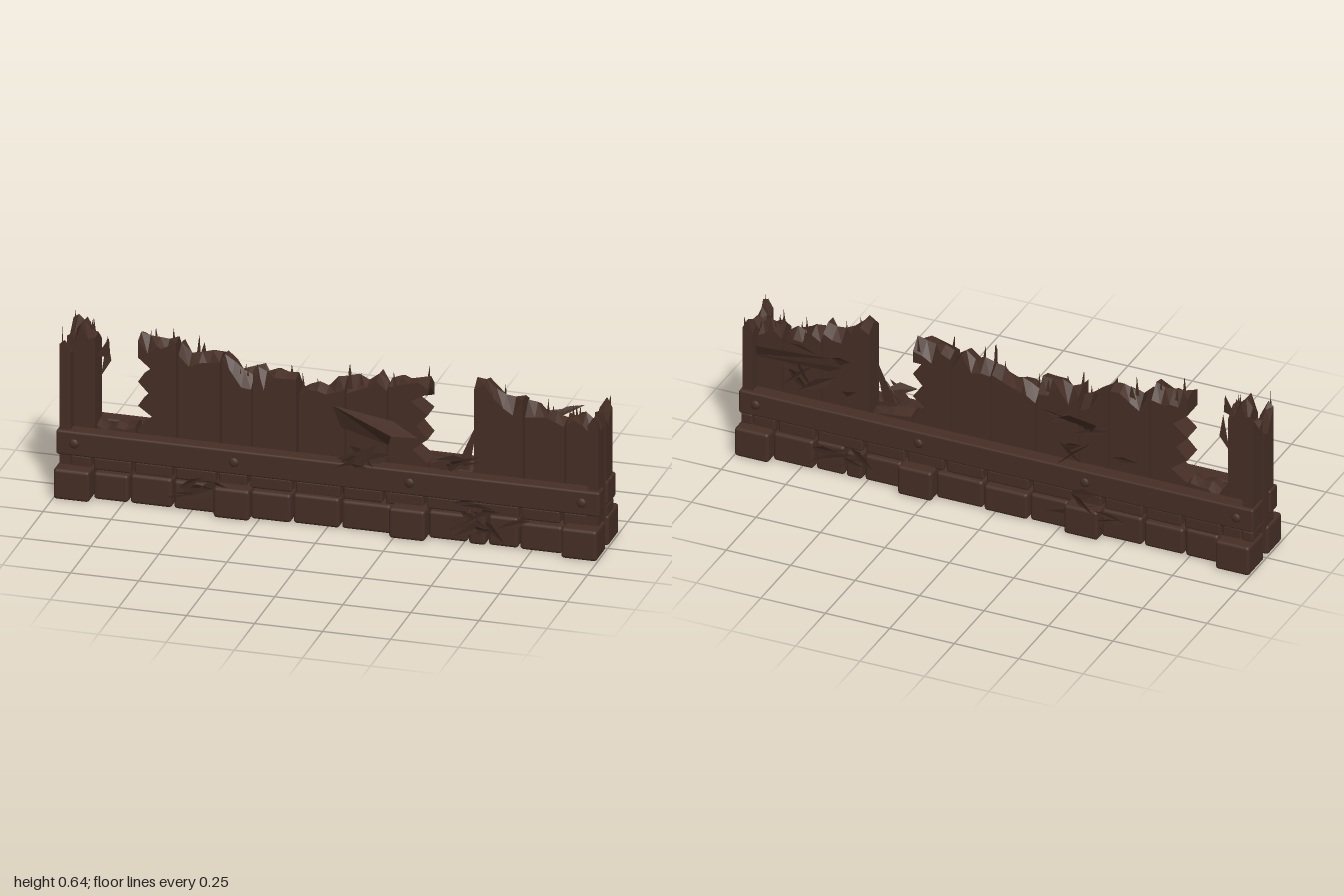
import * as THREE from 'three';
import { RoundedBoxGeometry } from 'three/addons/geometries/RoundedBoxGeometry.js';

const wood = new THREE.MeshStandardMaterial({ color: 0x452e25, side: THREE.DoubleSide });
wood.name = 'darkWood';

let seed = 7;
const rnd = (a, b) => {
  seed = (seed * 16807) % 2147483647;
  return a + (b - a) * (seed / 2147483647);
};

// Planks: left x, right x, height at left, height at right, side with a torn edge
const PLANKS = [
  [-.95, -.872, .625, .61], [-.866, -.725, .26, .26], [-.715, -.575, .6, .6, -1],
  [-.566, -.415, .58, .575], [-.407, -.3, .575, .5], [-.292, -.135, .53, .54],
  [-.124, .043, .49, .525], [.051, .198, .545, .55], [.206, .35, .55, .59, 1],
  [.356, .51, .255, .26], [.52, .698, .585, .53], [.707, .85, .515, .49], [.859, .95, .49, .505],
];
const STONES = [-.865, -.73, -.57, -.405, -.285, -.13, .047, .235, .365, .515, .585, .702, .865];
const POSTS = [-.9325, -.345, .3, .9325];

// Outline of a plank with a splintered top and, where asked, a torn side
function plankShape([x0, x1, yl, yr, torn = 0], foot) {
  const pts = [[x1, foot], [x0, foot]];
  const tear = (x) => {
    const edge = [];
    for (let i = 0; i < 7; i++) edge.push([x - (i % 2 ? torn * rnd(.04, .07) : 0), .26 + i * .046]);
    return edge;
  };
  if (torn < 0) pts.push(...tear(x0));
  const n = Math.max(3, Math.round((x1 - x0) / .035));
  for (let i = 0; i <= n; i++) {
    const t = i / n;
    pts.push([x0 + (x1 - x0) * t, yl + (yr - yl) * t + rnd(-.02, .022)]);
  }
  if (torn > 0) pts.push(...tear(x1).reverse());
  return new THREE.Shape(pts.map(([x, y]) => new THREE.Vector2(x, y)));
}

// Plank whose broken top rises to a ragged ridge inside its thickness
function plankGeometry(plank, foot, depth) {
  const geo = new THREE.ExtrudeGeometry(plankShape(plank, foot), { depth, steps: 2, bevelEnabled: false });
  const p = geo.attributes.position;
  const top = Math.min(plank[2], plank[3]) - .03;
  for (let i = 0; i < p.count; i++) {
    const [x, y, z] = [p.getX(i), p.getY(i), p.getZ(i)];
    if (y < top || Math.abs(z - depth / 2) < depth * .1) continue;
    const h = Math.abs(Math.sin(x * 57 + y * 91 + z * 133) * 437) % 1;
    p.setY(i, y - h * (top > .3 ? .06 : .02));
  }
  geo.computeVertexNormals();
  return geo;
}

export function createModel() {
  const model = new THREE.Group();
  const add = (name, geo, parent = model) => {
    const m = new THREE.Mesh(geo, wood);
    m.name = name;
    parent.add(m);
    return m;
  };
  const group = (name) => {
    const g = new THREE.Group();
    g.name = name;
    model.add(g);
    return g;
  };
  // Rounded box given by its limits
  const block = (name, x0, x1, y0, y1, z0, z1, r, parent) =>
    add(name, new RoundedBoxGeometry(Math.abs(x1 - x0), y1 - y0, Math.abs(z1 - z0), 2, r), parent)
      .position.set((x0 + x1) / 2, (y0 + y1) / 2, (z0 + z1) / 2);
  // Flat-sided splinter through a few points
  const splinter = (pts, parent) => {
    const pos = [];
    for (let i = 1; i < pts.length - 1; i++) pos.push(...pts[0], ...pts[i], ...pts[i + 1]);
    const g = new THREE.BufferGeometry();
    g.setAttribute('position', new THREE.Float32BufferAttribute(pos, 3));
    g.computeVertexNormals();
    add('splinter', g, parent);
  };

  // Upright broken planks standing between the rails, with slivers on the tops
  const planks = group('planks');
  PLANKS.forEach((plank) => {
    add('plank', plankGeometry(plank, .015, .083), planks).position.z = -.048;
    const [x0, x1, yl, yr] = plank;
    for (let i = 0; i < 3 && yl > .4; i++) {
      const x = rnd(x0 + .01, x1 - .01), y = Math.min(yl, yr) - .05, z = rnd(-.045, .033);
      splinter([[x - .01, y, z], [x + .01, y, z], [x + rnd(-.01, .01), Math.min(.645, y + rnd(.06, .11)), z]], planks);
    }
  });

  // Pairs of boards closing each end: front edge z, back edge z, heights
  const ends = group('endBoards');
  for (const s of [1, -1]) {
    const h = s > 0 ? [.51, .5, .5, .52] : [.61, .53, .59, .6];
    [[-.08, -.004, h[0], h[1]], [.014, .094, h[2], h[3]]].forEach((board) => {
      const geo = plankGeometry(board, .1, .04);
      geo.rotateY(Math.PI / 2);
      add('endBoard', geo, ends).position.x = s > 0 ? .95 : -.99;
    });
    splinter([[s * .97, .46, .079], [s * .985, .46, .079], [s * .98, s > 0 ? .55 : .645, .079]], ends);
    splinter([[s * .96, .46, -.093], [s * .985, .46, -.093], [s * .985, s > 0 ? .55 : .645, -.093]], ends);
    block('railEnd', s * .95, s * .996, .157, .25, -.109, -.014, .01, ends);
    block('railEndSupport', s * .95, s * .993, .112, .156, -.102, -.018, .008, ends);
  }

  for (const s of [1, -1]) {
    const front = s > 0;
    const side = front ? 'front' : 'back';

    // Long rail
    block(side + 'Rail', -.998, .998, .157, .25, front ? .037 : -.11, front ? .097 : -.05, .008);

    // Foundation blocks between the posts, with a lower course below the rail
    const base = group(side + 'Base');
    for (let i = 0; i < STONES.length - 1; i++) {
      const [a, b] = [STONES[i], STONES[i + 1]];
      if (POSTS.some((p) => p > a && p < b && b - a < .14)) continue;
      const depth = (front ? .096 : .11) + rnd(-.004, .01);
      block('baseBlock', a + .004, b - .004, 0, .11 + rnd(-.008, .006), s * .02, s * depth, .012, base);
    }
    PLANKS.forEach(([a, b]) => block('upperBlock', a + .002, b - .002, .108, .157,
      s * .034, front ? .083 : -.1, .008, base));

    // Larger blocks at the posts, each with a bolt on the rail above
    POSTS.forEach((x) => {
      block('postBlock', x - .066, x + .066, 0, .116, s * .016, front ? .133 : -.147, .012, base);
      const bolt = add(side + 'Bolt', new THREE.SphereGeometry(.018, 8, 6));
      bolt.scale.z = .5;
      bolt.position.set(x, .205, front ? .097 : -.111);
    });
  }

  // Scattered splinters: centre x, centre y, spread x, spread y, face z, count
  const shards = group('splinters');
  const CLUSTERS = [
    [-.5, .08, .1, .04, .1, 7], [.53, .115, .06, .05, .1, 8], [.17, .27, .12, .03, .08, 5],
    [.47, .28, .04, .02, .04, 5], [.65, .1, .12, .05, .09, 4],
    [-.35, .38, .13, .09, -.05, 7], [.7, .38, .2, .09, -.05, 9],
    [.57, .09, .12, .05, -.11, 7], [-.35, .11, .15, .05, -.11, 8],
  ];
  CLUSTERS.forEach(([cx, cy, sx, sy, z, n]) => {
    for (let i = 0; i < n; i++) {
      const x = cx + rnd(-sx, sx), y = cy + rnd(-sy, sy), a = rnd(-.7, .7) + (i % 2) * Math.PI;
      const dx = Math.cos(a) * .08, dy = Math.sin(a) * .07, w = rnd(.008, .03);
      const out = Math.sign(z) * rnd(.02, z === -.05 ? .1 : .05);
      splinter([[x - dx * .5, y - dy * .5, z], [x, y - w, z + out * .3],
        [x + dx, Math.max(.01, y + dy), z + out], [x + dx * .2, y + w, z + out * .7]], shards);
    }
  });

  // Large broken boards sticking out
  splinter([[0, .44, .035], [.24, .435, .1], [.35, .405, .155], [.25, .4, .155], [.23, .35, .12], [.03, .36, .035]], shards);
  splinter([[.02, .25, .06], [.2, .36, .15], [.14, .26, .13]], shards);
  splinter([[.98, .37, -.05], [.96, .42, -.07], [.62, .48, -.13], [.58, .46, -.14], [.64, .42, -.12]], shards);
  splinter([[-.22, .34, .02], [-.2, .4, -.05], [-.3, .49, -.15], [-.4, .46, -.13], [-.33, .36, -.04]], shards);
  // Slivers hanging in the gaps
  splinter([[-.87, .52, .03], [-.82, .6, .04], [-.815, .53, .04]], shards);
  splinter([[-.87, .42, -.03], [-.835, .48, -.04], [-.85, .57, -.04]], shards);
  splinter([[.45, .25, .03], [.53, .44, .02], [.5, .25, .03]], shards);
  return model;
}
